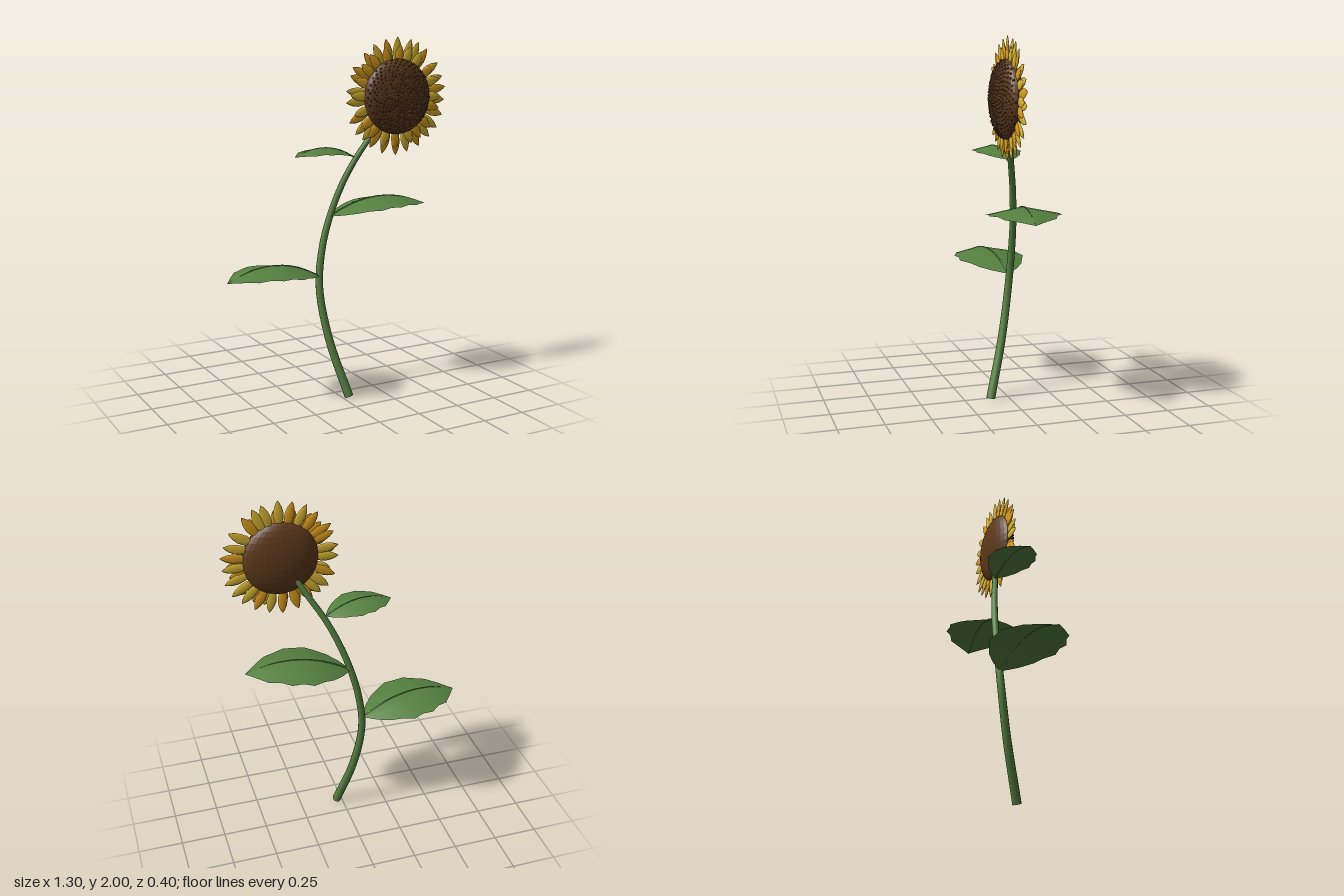
import * as THREE from 'three';
import { mergeGeometries } from 'three/addons/utils/BufferGeometryUtils.js';

const mat = (name, color, side = THREE.FrontSide) => {
  const m = new THREE.MeshStandardMaterial({ color, side });
  m.name = name;
  return m;
};

// Tube along a smooth curve whose radius runs from r0 to r1, closed at its start
function taperedTube(curve, segments, sides, r0, r1) {
  const tube = new THREE.TubeGeometry(curve, segments, 1, sides);
  const p = tube.attributes.position, v = new THREE.Vector3();
  for (let i = 0; i < p.count; i++) {
    const t = Math.floor(i / (sides + 1)) / segments;
    const c = curve.getPointAt(t);
    v.fromBufferAttribute(p, i).sub(c).multiplyScalar(r0 + (r1 - r0) * t).add(c);
    p.setXYZ(i, v.x, v.y, v.z);
  }
  const cap = new THREE.CircleGeometry(r0, sides);
  const out = curve.getTangentAt(0).negate();
  cap.applyQuaternion(new THREE.Quaternion().setFromUnitVectors(new THREE.Vector3(0, 0, 1), out));
  const start = curve.getPointAt(0);
  cap.translate(start.x, start.y, start.z);
  return mergeGeometries([tube, cap]);
}

// Arched, serrated leaf along +x, folded down on both sides of the midrib
const LENGTH = 0.583;
const WIDTHS = [0, 0.08, 0.135, 0.165, 0.2, 0.188, 0.193, 0.155, 0.135, 0.07, 0];
const arch = t => 0.355 * t - 0.315 * t * t;

function leafBlade() {
  const rows = WIDTHS.length - 1, cols = 4;
  const g = new THREE.PlaneGeometry(1, 1, cols, rows);
  const p = g.attributes.position;
  for (let i = 0; i < p.count; i++) {
    const row = Math.floor(i / (cols + 1));
    const s = (i % (cols + 1)) / cols * 2 - 1;
    const t = row / rows, w = WIDTHS[row] * s;
    p.setXYZ(i, t * LENGTH, arch(t) - 0.2 * Math.abs(w), w);
  }
  // rows run along +x and columns along +z, so reverse the winding to face up
  const index = g.index.array;
  for (let i = 0; i < index.length; i += 3) [index[i], index[i + 1]] = [index[i + 1], index[i]];
  // pick the winding that points upward
  g.computeVertexNormals();
  if (g.attributes.normal.getY(5 * (cols + 1) + 1) < 0) {
    for (let i = 0; i < index.length; i += 3) [index[i], index[i + 1]] = [index[i + 1], index[i]];
    g.computeVertexNormals();
  }
  return g;
}

export function createModel() {
  const model = new THREE.Group();
  model.name = 'sunflower';
  const stemGreen = mat('stem green', 0x558040);
  const leafGreen = mat('leaf green', 0x558040, THREE.DoubleSide);
  const gold = mat('petal gold', 0xe0a022);
  const yellow = mat('petal yellow', 0xddb835);
  const brown = mat('disc brown', 0x5f3a1d);
  const darkSeed = mat('dark seed', 0x573519);
  const lightSeed = mat('light seed', 0xa06a36);

  const add = (parent, name, geometry, material) => {
    const mesh = new THREE.Mesh(geometry, material);
    mesh.name = name;
    parent.add(mesh);
    return mesh;
  };
  let seed = 7;
  const random = () => (seed = (seed * 16807) % 2147483647) / 2147483647;

  // Curved stem
  const stemCurve = new THREE.CatmullRomCurve3([
    [0.033, 0.01, 0.11], [-0.045, 0.33, 0.02], [-0.08, 0.62, -0.03], [-0.06, 0.82, -0.042],
    [-0.02, 0.99, -0.038], [0.045, 1.18, -0.015], [0.12, 1.34, 0.02], [0.2, 1.47, 0.053], [0.252, 1.56, 0.08],
  ].map(a => new THREE.Vector3(...a)));
  add(model, 'stem', taperedTube(stemCurve, 24, 10, 0.025, 0.015), stemGreen);

  // Leaves: base position, yaw and size
  const blade = leafBlade();
  const ribCurve = new THREE.CatmullRomCurve3(
    [0, 0.25, 0.5, 0.75, 1].map(t => new THREE.Vector3(t * LENGTH, arch(t), 0)));
  const rib = taperedTube(ribCurve, 12, 6, 0.006, 0.0015);
  const leaves = [
    ['lowerLeaf', [-0.08, 0.69, -0.033], Math.PI + 0.115, 1],
    ['middleLeaf', [-0.015, 1.02, -0.033], -0.115, 1],
    ['upperLeaf', [0.115, 1.35, 0.018], Math.PI + 0.12, 0.67],
  ];
  for (const [name, base, yaw, size] of leaves) {
    const leaf = new THREE.Group();
    leaf.name = name;
    add(leaf, 'blade', blade, leafGreen);
    add(leaf, 'midrib', rib, stemGreen);
    leaf.position.set(...base);
    leaf.rotation.y = yaw;
    leaf.scale.setScalar(size);
    model.add(leaf);
  }

  // Flower head
  const head = new THREE.Group();
  head.name = 'flowerHead';
  head.position.set(0.325, 1.68, 0.115);
  model.add(head);
  const R = 0.205, D = 0.067;
  const disc = new THREE.SphereGeometry(1, 28, 16).scale(R, R, D).toNonIndexed();
  disc.computeVertexNormals();
  add(head, 'disc', disc, brown);

  // Seeds in a spiral over the front of the disc
  const seeds = [[], []];
  const COUNT = 330;
  for (let i = 0; i < COUNT; i++) {
    const r = Math.sqrt((i + 0.5) / COUNT) * 0.985, a = i * 2.39996;
    const light = random() < 0.36;
    const size = light ? 0.0055 : 0.007;
    const g = new THREE.IcosahedronGeometry(size, 0);
    g.rotateZ(random() * 6);
    g.translate(r * R * Math.cos(a), r * R * Math.sin(a), D * Math.sqrt(1 - r * r) + (light ? 0.001 : -0.002));
    seeds[light ? 1 : 0].push(g);
  }
  add(head, 'darkSeeds', mergeGeometries(seeds[0]), darkSeed);
  add(head, 'lightSeeds', mergeGeometries(seeds[1]), lightSeed);

  // Two rings of flattened, pointed petals
  const petal = new THREE.LatheGeometry(
    [[0, 0], [0.013, 0.02], [0.024, 0.065], [0.027, 0.095], [0.02, 0.13], [0.01, 0.152], [0, 0.167]]
      .map(a => new THREE.Vector2(...a)), 8).scale(1, 1, 0.24);
  const rings = [
    { name: 'outerPetal', count: 26, length: 0.97, z: -0.008 },
    { name: 'innerPetal', count: 20, length: 0.76, z: -0.003 },
  ];
  for (const ring of rings) {
    for (let i = 0; i < ring.count; i++) {
      const a = (i + (random() - 0.5) * 0.35) / ring.count * Math.PI * 2;
      const mesh = add(head, ring.name, petal, random() < 0.5 ? gold : yellow);
      mesh.position.set(-Math.sin(a) * 0.157, Math.cos(a) * 0.157, ring.z);
      mesh.rotation.z = a + (random() - 0.5) * 0.16;
      mesh.scale.y = ring.length + (random() - 0.5) * 0.08;
    }
  }
  return model;
}
